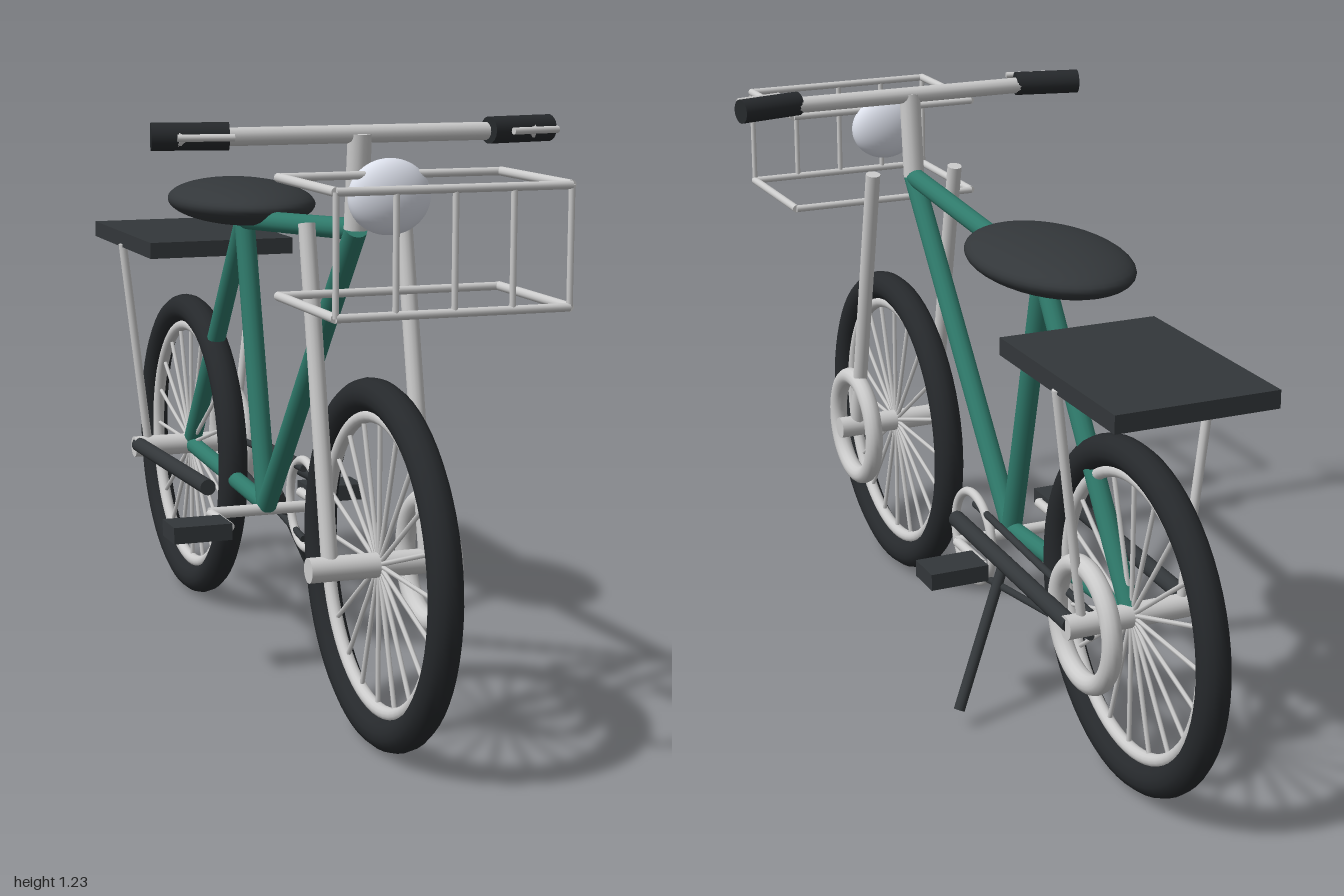
import * as THREE from 'three';

const mat = (color) => new THREE.MeshStandardMaterial({ color });

export function createModel() {
  const bike = new THREE.Group();
  bike.name = 'bicycle';
  const grey = mat(0xcccccc), green = mat(0x2f7a6b), rubber = mat(0x26292c);
  const dark = mat(0x33373a), red = mat(0xcc1a1a), lampWhite = mat(0xdde1ec);

  const add = (name, geo, material, pos = [0, 0, 0], parent = bike) => {
    const m = new THREE.Mesh(geo, material);
    m.name = name;
    m.position.set(...pos);
    parent.add(m);
    return m;
  };
  // Round bar between two points
  const rod = (name, a, b, r, material, parent = bike, sides = 14) => {
    const p = new THREE.Vector3(...a), q = new THREE.Vector3(...b);
    const d = q.clone().sub(p);
    const mid = p.clone().add(q).multiplyScalar(0.5).toArray();
    const m = add(name, new THREE.CylinderGeometry(r, r, d.length(), sides), material, mid, parent);
    m.quaternion.setFromUnitVectors(new THREE.Vector3(0, 1, 0), d.normalize());
    return m;
  };
  // Ring standing in the y-z plane
  const ring = (name, R, r, material, pos, parent) => {
    const m = add(name, new THREE.TorusGeometry(R, r, 14, 64), material, pos, parent);
    m.rotation.y = Math.PI / 2;
  };
  const ellipsoid = (name, size, material, pos) =>
    add(name, new THREE.SphereGeometry(1, 36, 24), material, pos).scale.set(...size);

  // Wheels: tyre, rim, spokes, hub and side disc ring
  const axleY = 0.375, axleZ = 0.632, spokes = 20;
  for (const [name, z] of [['frontWheel', axleZ], ['rearWheel', -axleZ]]) {
    const wheel = new THREE.Group();
    wheel.name = name;
    wheel.position.set(0, axleY, z);
    bike.add(wheel);
    ring('tyre', 0.334, 0.034, rubber, [0, 0, 0], wheel);
    ring('rim', 0.293, 0.014, grey, [0, 0, 0], wheel);
    ring('discRing', 0.122, 0.021, grey, [0.105, 0, 0], wheel);
    rod('hub', [-0.147, 0, 0], [0.147, 0, 0], 0.025, grey, wheel, 24);
    for (let i = 0; i < spokes; i++) {
      const a = (i / spokes) * Math.PI * 2;
      rod('spoke', [0, 0, 0], [0, 0.29 * Math.cos(a), 0.29 * Math.sin(a)], 0.005, grey, wheel, 6);
    }
  }

  // Frame tubes
  const head = [0, 1.02, 0.495], seatTop = [0, 0.97, -0.21];
  const bracket = [0, 0.345, -0.055], rearEnd = [0, axleY, -axleZ];
  rod('topTube', head, seatTop, 0.022, green);
  rod('downTube', head, bracket, 0.023, green);
  rod('seatTube', bracket, seatTop, 0.023, green);
  rod('seatStay', seatTop, rearEnd, 0.022, green);
  rod('chainStay', bracket, rearEnd, 0.02, green);

  // Stem and handlebar
  rod('stem', [0, 1.02, 0.493], [0, 1.21, 0.513], 0.024, grey);
  rod('handlebar', [-0.37, 1.208, 0.51], [0.37, 1.208, 0.51], 0.018, grey);

  // Parts mirrored left and right
  for (const s of [-1, 1]) {
    rod('forkLeg', [s * 0.102, axleY, axleZ], [s * 0.102, 1.035, 0.492], 0.017, grey);
    rod('grip', [s * 0.27, 1.21, 0.52], [s * 0.415, 1.21, 0.488], 0.027, rubber, bike, 20);
    rod('brakeLever', [s * 0.285, 1.213, 0.605], [s * 0.39, 1.213, 0.583], 0.007, grey);
    rod('rackStay', [s * 0.11, axleY, -axleZ], [s * 0.17, 0.875, -axleZ], 0.01, grey);
    rod('sideBar', [s * 0.135, 0.393, -0.06], [s * 0.135, 0.38, -axleZ], 0.018, dark);
    // Crank and pedal point opposite ways on each side
    const z = s < 0 ? 0.08 : -0.195;
    rod('crankArm', [s * 0.13, 0.335, -0.055], [s * 0.13, 0.335, z], 0.011, grey);
    rod('pedalAxle', [s * 0.125, 0.335, z], [s * 0.2, 0.335, z], 0.009, grey);
    add('pedal', new THREE.BoxGeometry(0.13, 0.036, 0.088), dark, [s * 0.203, 0.335, z]);
  }

  // Drivetrain
  rod('crankAxle', [-0.135, 0.335, -0.055], [0.135, 0.335, -0.055], 0.013, grey);
  ring('chainring', 0.1, 0.01, grey, [0.09, 0.34, -0.052], bike);
  rod('chainTop', [0.09, 0.42, -0.06], [0.09, 0.395, -axleZ], 0.008, dark);
  rod('chainBottom', [0.09, 0.258, -0.06], [0.09, 0.345, -axleZ], 0.008, dark);
  rod('kickstand', [0.07, 0.34, -0.18], [0.225, 0.048, -0.28], 0.012, dark);

  // Saddle, lamp, rack and tail light
  ellipsoid('saddle', [0.155, 0.051, 0.254], dark, [0, 1.01, -0.237]);
  ellipsoid('headlamp', [0.083, 0.073, 0.043], lampWhite, [0, 1.1, 0.67]);
  add('rearRack', new THREE.BoxGeometry(0.346, 0.037, 0.505), dark, [0, 0.886, -0.628]);
  add('tailLight', new THREE.BoxGeometry(0.132, 0.034, 0.03), red, [0, 0.854, -0.74]);

  // Wire basket: two rectangles joined by uprights at the front
  const bx = 0.225, back = 0.68, front = 0.987, low = 0.922, high = 1.143;
  const basket = new THREE.Group();
  basket.name = 'basket';
  bike.add(basket);
  for (const y of [low, high]) {
    for (const z of [back, front]) rod('basketCrossWire', [-bx, y, z], [bx, y, z], 0.008, grey, basket);
    for (const x of [-bx, bx]) rod('basketSideWire', [x, y, back], [x, y, front], 0.009, grey, basket);
  }
  for (let i = -2; i <= 2; i++) {
    const x = (i / 2) * bx;
    rod('basketUpright', [x, low, front], [x, high, front], 0.006, grey, basket, 10);
  }

  return bike;
}
